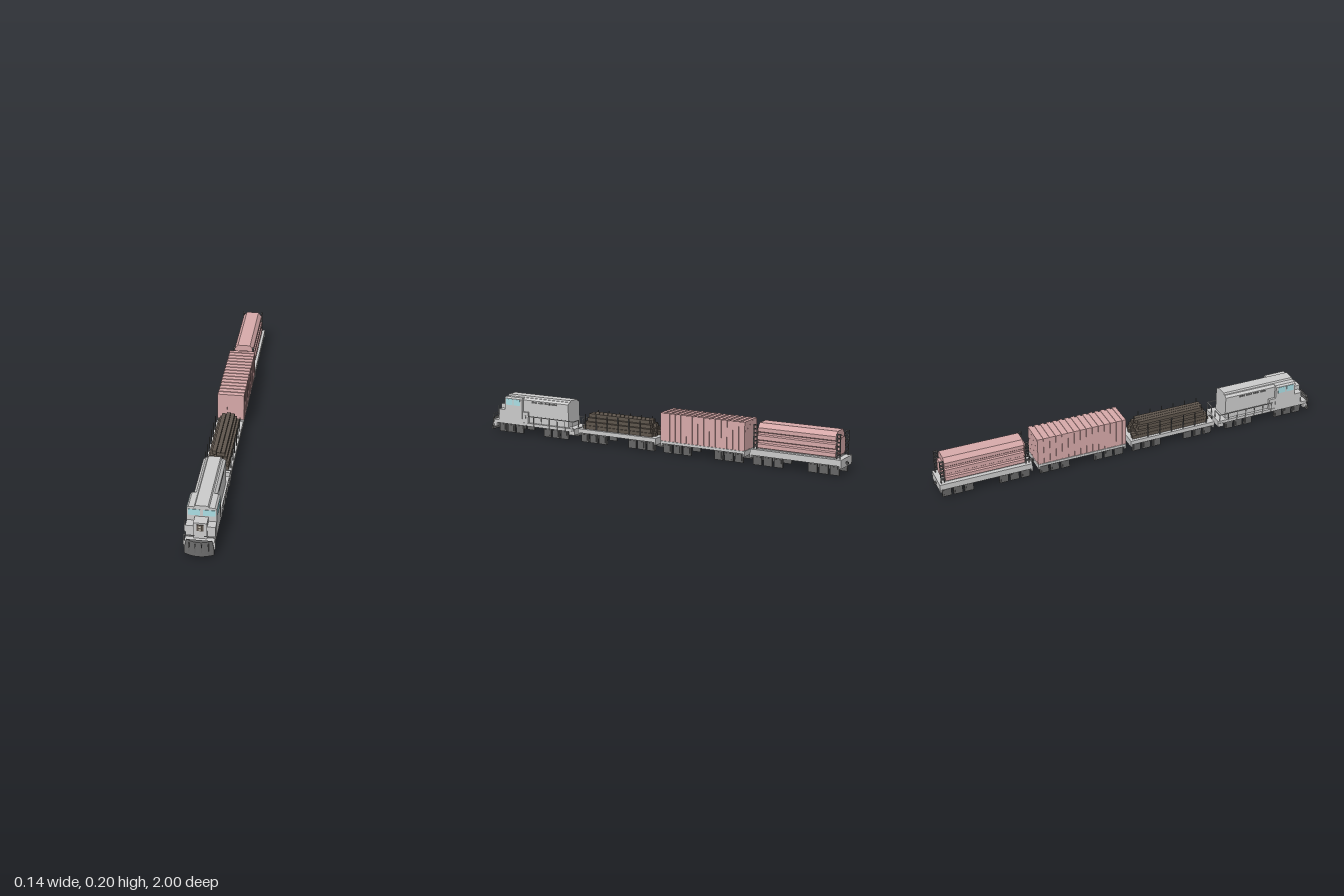
import * as THREE from 'three';

const mat = (color) => new THREE.MeshStandardMaterial({ color, flatShading: true });
const GREY = mat(0xcccccc), DARK = mat(0x666666), PINK = mat(0xd8aaaa), WOOD = mat(0x5f564d), GLASS = mat(0xabdfe5);
const LAMP = mat(0xd9cfc0);

function add(parent, name, geometry, material) {
  const mesh = new THREE.Mesh(geometry, material);
  mesh.name = name;
  parent.add(mesh);
  return mesh;
}

// Box given by its limits on each axis
function box(parent, name, material, x0, x1, y0, y1, z0, z1) {
  const mesh = add(parent, name, new THREE.BoxGeometry(x1 - x0, y1 - y0, z1 - z0), material);
  mesh.position.set((x0 + x1) / 2, (y0 + y1) / 2, (z0 + z1) / 2);
  return mesh;
}

// The same box on both sides of x = 0
function pair(parent, name, material, x0, x1, y0, y1, z0, z1) {
  box(parent, name + 'Left', material, x0, x1, y0, y1, z0, z1);
  box(parent, name + 'Right', material, -x1, -x0, y0, y1, z0, z1);
}

// Symmetric cross-section (right half listed from bottom to top) swept along z
function sweep(parent, name, material, half, z0, z1) {
  const outline = [...half, ...half.slice().reverse().map(([x, y]) => [-x, y])];
  const shape = new THREE.Shape(outline.map(([x, y]) => new THREE.Vector2(x, y)));
  const geometry = new THREE.ExtrudeGeometry(shape, { depth: z1 - z0, bevelEnabled: false });
  add(parent, name, geometry, material).position.z = z0;
}

// Three square wheel panels per side, each with a raised plate
function bogie(parent, zc) {
  const g = new THREE.Group();
  g.name = 'bogie';
  for (const dz of [-0.054, 0, 0.054]) {
    const z = zc + dz;
    pair(g, 'wheelPanel', DARK, 0.043, 0.054, 0, 0.048, z - 0.022, z + 0.022);
    pair(g, 'wheelPlate', DARK, 0.054, 0.057, 0.009, 0.04, z - 0.015, z + 0.015);
  }
  parent.add(g);
}

function coupler(parent, z) {
  box(parent, 'couplerBar', DARK, -0.005, 0.005, 0.046, 0.056, z - 0.016, z + 0.016);
  box(parent, 'couplerHead', DARK, -0.011, 0.011, 0.042, 0.06, z - 0.005, z + 0.005);
}

// Wagon base: deck, bogies and end sills, centred on z = 0
function wagon(name, z, deckTop) {
  const g = new THREE.Group();
  g.name = name;
  g.position.z = z;
  box(g, 'deck', GREY, -0.066, 0.066, 0.047, deckTop, -0.228, 0.228);
  for (const s of [-1, 1]) {
    bogie(g, s * 0.14);
    box(g, 'endSill', GREY, -0.066, 0.066, 0.034, 0.05, s * 0.224 - 0.004, s * 0.224 + 0.004);
  }
  return g;
}

function lumberWagon() {
  const g = wagon('lumberWagon', 0.205, 0.068);
  // Stacked planks, narrower towards the top, with uneven ends
  const counts = [5, 5, 4, 3];
  let seed = 7;
  const rnd = () => (seed = (seed * 16807) % 2147483647) / 2147483647;
  counts.forEach((n, layer) => {
    const y = 0.068 + layer * 0.0195, pitch = 0.021;
    for (let i = 0; i < n; i++) {
      const x = (i - (n - 1) / 2) * pitch;
      const end = 0.213 - layer * 0.008;
      box(g, 'plank', WOOD, x - 0.0095, x + 0.0095, y, y + 0.018, -end + rnd() * 0.02, end - rnd() * 0.02);
    }
  });
  // Side stakes
  for (let i = 0; i < 6; i++) {
    const z = -0.135 + i * 0.064;
    pair(g, 'stake', DARK, 0.058, 0.062, 0.05, 0.147, z - 0.002, z + 0.002);
  }
  return g;
}

function containerWagon() {
  const g = wagon('containerWagon', -0.278, 0.06);
  box(g, 'containerBody', PINK, -0.062, 0.062, 0.06, 0.197, -0.224, 0.224);
  // Corrugation ribs wrapping roof and sides
  for (let i = 0; i < 15; i++) {
    const z = (i - 7) * 0.0312;
    box(g, 'containerRib', PINK, -0.066, 0.066, 0.062, 0.2, z - 0.0095, z + 0.0095);
  }
  // End ribs
  for (let i = 0; i < 5; i++) {
    const x = (i - 2) * 0.026;
    for (const s of [-1, 1]) {
      box(g, 'containerEndRib', PINK, x - 0.008, x + 0.008, 0.062, 0.197, s * 0.2255 - 0.0025, s * 0.2255 + 0.0025);
    }
  }
  return g;
}

function cargoWagon() {
  const g = wagon('cargoWagon', -0.762, 0.076);
  // Long cargo body with stepped sides
  sweep(g, 'cargoBody', PINK, [
    [0.046, 0.08], [0.054, 0.084], [0.054, 0.102], [0.047, 0.107], [0.047, 0.118], [0.052, 0.122],
    [0.052, 0.142], [0.045, 0.147], [0.045, 0.156], [0.049, 0.16], [0.049, 0.178], [0.032, 0.2],
  ], -0.195, 0.195);
  box(g, 'cradle', GREY, -0.045, 0.045, 0.076, 0.081, -0.2, 0.2);
  for (const s of [-1, 1]) {
    // Raised end hatch
    const z = s * 0.2;
    sweep(g, 'endHatch', PINK, [[0.02, 0.092], [0.03, 0.102], [0.03, 0.16], [0.02, 0.17]], z - 0.009, z + 0.009);
    // Ladder frames at the corners
    for (const dz of [0.2, 0.216]) {
      pair(g, 'ladderPost', DARK, 0.047, 0.052, 0.076, 0.192, s * dz - 0.002, s * dz + 0.002);
    }
    for (let i = 0; i < 6; i++) {
      const y = 0.092 + i * 0.019;
      pair(g, 'ladderRung', DARK, 0.045, 0.054, y, y + 0.005, s * 0.208 - 0.01, s * 0.208 + 0.01);
    }
  }
  return g;
}

function locomotive() {
  const g = new THREE.Group();
  g.name = 'locomotive';
  box(g, 'frame', GREY, -0.066, 0.066, 0.046, 0.062, 0.455, 0.965);
  box(g, 'rearSill', GREY, -0.066, 0.066, 0.03, 0.062, 0.455, 0.465);
  bogie(g, 0.86);
  bogie(g, 0.577);

  // Engine hood with sloped roof edges and raised roof strip
  sweep(g, 'hood', GREY, [[0.052, 0.062], [0.052, 0.18], [0.04, 0.19]], 0.5, 0.785);
  sweep(g, 'roofStrip', GREY, [[0.034, 0.188], [0.028, 0.198]], 0.5, 0.89);
  pair(g, 'sideLocker', GREY, 0.05, 0.064, 0.062, 0.118, 0.745, 0.785);
  for (let i = 0; i < 4; i++) {
    const z = 0.59 + i * 0.04;
    pair(g, 'vent', DARK, 0.05, 0.0535, 0.167, 0.176, z - 0.017, z + 0.017);
  }

  // Cab with windows
  sweep(g, 'cab', GREY, [[0.066, 0.062], [0.066, 0.182], [0.058, 0.19]], 0.78, 0.89);
  pair(g, 'frontWindow', GLASS, 0.007, 0.06, 0.148, 0.178, 0.888, 0.892);
  for (const z of [0.812, 0.86]) {
    pair(g, 'sideWindow', GLASS, 0.064, 0.068, 0.148, 0.18, z - 0.02, z + 0.02);
  }

  // Nose, shoulders and headlight
  box(g, 'nose', GREY, -0.03, 0.03, 0.062, 0.142, 0.885, 0.94);
  pair(g, 'noseShoulder', GREY, 0.03, 0.066, 0.062, 0.12, 0.885, 0.932);
  box(g, 'headlightPanel', WOOD, -0.015, 0.015, 0.102, 0.134, 0.938, 0.943);
  for (const y of [0.111, 0.125]) box(g, 'headlight', LAMP, -0.006, 0.006, y - 0.005, y + 0.005, 0.942, 0.945);

  // Curved plow, narrower at the top
  const plow = new THREE.BoxGeometry(0.132, 0.066, 0.02, 10, 4, 1);
  const p = plow.attributes.position;
  for (let i = 0; i < p.count; i++) {
    const x = p.getX(i), t = p.getY(i) / 0.066 + 0.5;
    const front = p.getZ(i) > 0;
    p.setX(i, x * (1 - 0.15 * Math.max(0, (t - 0.35) / 0.65)));
    p.setZ(i, (front ? 0.999 - 0.012 * t : 0.968) - 4.5 * x * x * (front ? 1 : 0));
  }
  plow.computeVertexNormals();
  add(g, 'plow', plow, DARK).position.y = 0.041;
  for (const x of [-0.042, -0.014, 0.014, 0.042]) {
    const z = 0.99 - 4.5 * x * x;
    box(g, 'plowBar', DARK, x - 0.002, x + 0.002, 0.016, 0.066, z - 0.008, z + 0.006);
  }

  // Walkway railings
  pair(g, 'handrail', GREY, 0.067, 0.07, 0.097, 0.101, 0.46, 0.76);
  for (let i = 0; i < 7; i++) {
    const z = 0.462 + i * 0.049;
    pair(g, 'railPost', GREY, 0.067, 0.07, 0.05, 0.1, z - 0.0015, z + 0.0015);
  }
  pair(g, 'rearRail', GREY, 0.018, 0.07, 0.097, 0.101, 0.458, 0.462);
  pair(g, 'rearRailPost', GREY, 0.018, 0.021, 0.06, 0.1, 0.458, 0.462);
  pair(g, 'frontGrab', GREY, 0.068, 0.071, 0.07, 0.142, 0.925, 0.928);
  pair(g, 'frontRail', GREY, 0.02, 0.07, 0.09, 0.094, 0.962, 0.965);
  pair(g, 'frontRailPost', GREY, 0.067, 0.07, 0.03, 0.094, 0.962, 0.965);
  pair(g, 'cabStep', GREY, 0.05, 0.068, 0.026, 0.05, 0.945, 0.965);
  pair(g, 'rearStep', GREY, 0.05, 0.068, 0.03, 0.05, 0.46, 0.485);
  return g;
}

export function createModel() {
  const train = new THREE.Group();
  train.name = 'freightTrain';
  train.add(locomotive(), lumberWagon(), containerWagon(), cargoWagon());
  for (const z of [0.444, -0.036, -0.52, -0.985]) coupler(train, z);
  return train;
}
